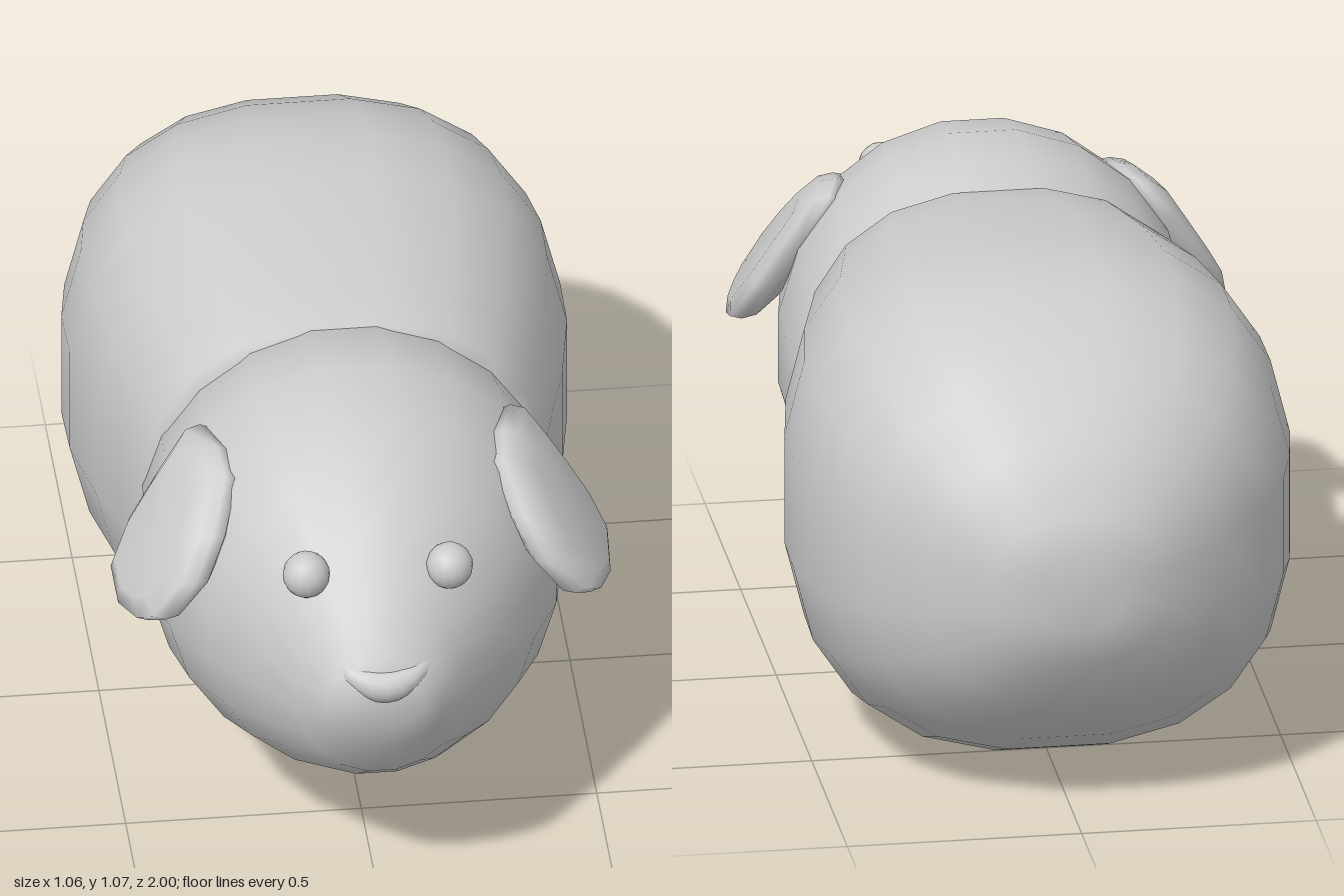
import * as THREE from 'three';

const material = new THREE.MeshStandardMaterial({ color: 0xcccccc });

// Smooth closed skin over a stack of equal-length rings, capped at both ends
function loft(rings) {
  const n = rings[0].length, pos = [], idx = [];
  for (const ring of rings) for (const p of ring) pos.push(...p);
  for (let i = 0; i < rings.length - 1; i++) {
    for (let j = 0; j < n; j++) {
      const k = (j + 1) % n;
      const a = i * n + j, b = i * n + k, c = b + n, d = a + n;
      idx.push(a, b, c, a, c, d);
    }
  }
  const addCap = (r, flip) => {
    const centre = [0, 1, 2].map(k => rings[r].reduce((s, p) => s + p[k], 0) / n);
    const ci = pos.length / 3;
    pos.push(...centre);
    for (let j = 0; j < n; j++) {
      const a = r * n + j, b = r * n + (j + 1) % n;
      idx.push(ci, flip ? b : a, flip ? a : b);
    }
  };
  addCap(0, true);
  addCap(rings.length - 1, false);
  const g = new THREE.BufferGeometry();
  g.setAttribute('position', new THREE.Float32BufferAttribute(pos, 3));
  g.setIndex(idx);
  g.computeVertexNormals();
  return g;
}

// Superelliptical cross-section: z, top y, bottom y, half width
function section([z, top, bottom, w], power, n = 20) {
  const h = (top - bottom) / 2, cy = (top + bottom) / 2;
  const bulge = v => Math.sign(v) * Math.abs(v) ** (2 / power);
  return Array.from({ length: n }, (_, j) => {
    const a = ((j + 0.5) / n) * Math.PI * 2;
    return [w * bulge(Math.cos(a)), cy + h * bulge(Math.sin(a)), z];
  });
}

const bodySections = [
  [-1, 0.63, 0.46, 0.09], [-0.98, 0.71, 0.38, 0.19], [-0.9, 0.845, 0.245, 0.315],
  [-0.79, 0.95, 0.14, 0.425], [-0.67, 1.02, 0.07, 0.485], [-0.56, 1.065, 0.025, 0.515],
  [-0.44, 1.085, 0, 0.535], [-0.3, 1.085, 0.005, 0.533], [-0.1, 1.062, 0.05, 0.5],
  [0.05, 1.035, 0.09, 0.46], [0.17, 1.012, 0.115, 0.43], [0.22, 0.98, 0.16, 0.4],
];

const headSections = [
  [0.1, 0.97, 0.16, 0.4], [0.17, 1.012, 0.122, 0.432], [0.28, 1.045, 0.113, 0.442],
  [0.39, 1.062, 0.12, 0.442], [0.54, 1.03, 0.165, 0.415], [0.68, 0.965, 0.225, 0.35],
  [0.79, 0.88, 0.29, 0.265], [0.89, 0.78, 0.365, 0.18], [0.955, 0.695, 0.47, 0.125],
  [0.98, 0.65, 0.54, 0.08],
];

// Ear outline as (z, y)
const earOutline = [
  [0.38, 0.93], [0.475, 0.935], [0.56, 0.915], [0.65, 0.825], [0.7, 0.74], [0.69, 0.65],
  [0.645, 0.62], [0.56, 0.605], [0.46, 0.635], [0.41, 0.725], [0.39, 0.835],
];

// Padded flap leaning outward toward its lower back corner
function earGeometry(side) {
  const layers = [[-0.05, 0.72], [-0.028, 0.96], [0, 1], [0.028, 0.96], [0.05, 0.72]];
  const rings = layers.map(([t, s]) => earOutline.map(([z, y]) => {
    const ez = 0.54 + (z - 0.54) * s, ey = 0.77 + (y - 0.77) * s;
    const x = 0.395 - 0.66 * (ey - 0.77) - 0.25 * (ez - 0.54) + t;
    return [side * x, ey, ez];
  }));
  return loft(side > 0 ? rings : rings.reverse());
}

// Flattened ball curved upward at both ends
function noseGeometry() {
  const g = new THREE.SphereGeometry(1, 20, 12);
  g.scale(0.105, 0.042, 0.05);
  const p = g.attributes.position;
  for (let i = 0; i < p.count; i++) {
    const x = p.getX(i);
    p.setY(i, p.getY(i) + 3.2 * x * x);
    p.setZ(i, p.getZ(i) - 2 * x * x);
  }
  g.computeVertexNormals();
  return g;
}

export function createModel() {
  const model = new THREE.Group();
  model.name = 'plushAnimal';
  const add = (name, geometry) => {
    const mesh = new THREE.Mesh(geometry, material);
    mesh.name = name;
    model.add(mesh);
    return mesh;
  };

  add('body', loft(bodySections.map(s => section(s, 2.5))));
  add('head', loft(headSections.map(s => section(s, 2.05))));
  add('nose', noseGeometry()).position.set(0, 0.632, 0.947);

  for (const [label, side] of [['left', 1], ['right', -1]]) {
    add(label + 'Ear', earGeometry(side));
    add(label + 'Eye', new THREE.SphereGeometry(0.05, 16, 12))
      .position.set(side * 0.152, 0.825, 0.81);
  }
  return model;
}
